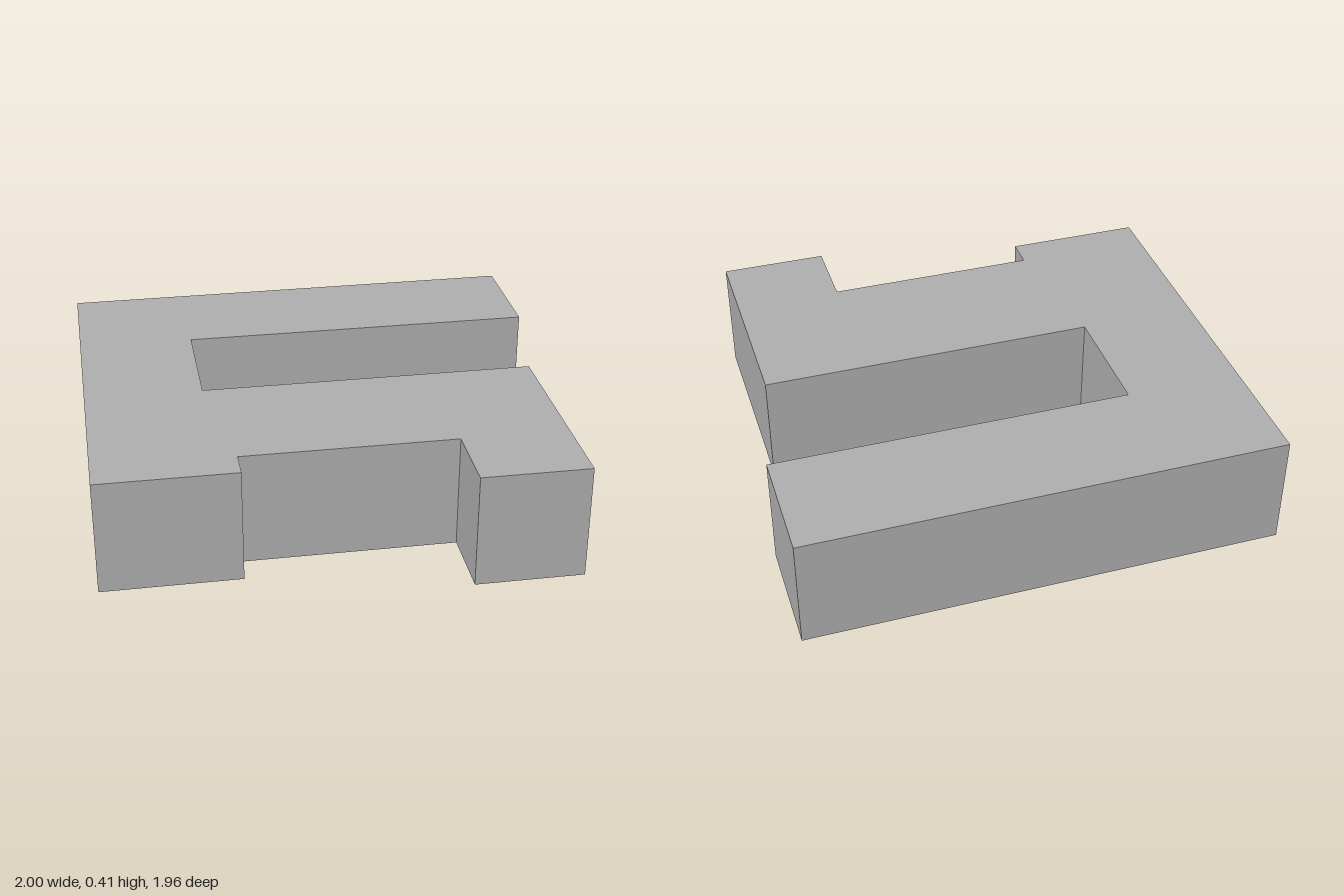
import * as THREE from 'three';

const HEIGHT = 0.41;

// Building footprint as [x, z] corners
const FOOTPRINT = [
  [-0.657, -0.98], [-1, 0.44], [-0.527, 0.554], [-0.502, 0.45],
  [0.231, 0.627], [0.168, 0.886], [0.538, 0.976], [0.717, 0.227],
  [-0.45, -0.054], [-0.35, -0.475], [0.9, -0.174], [1, -0.585],
];

export function createModel() {
  const model = new THREE.Group();
  model.name = 'building';
  const grey = new THREE.MeshStandardMaterial({ color: 0xb0b0b0, side: THREE.DoubleSide });
  grey.name = 'plain grey';

  // Flat roof; the underside of the shell is open
  const outline = new THREE.Shape(FOOTPRINT.map(([x, z]) => new THREE.Vector2(x, -z)));
  const roof = new THREE.Mesh(new THREE.ShapeGeometry(outline), grey);
  roof.name = 'roof';
  roof.rotation.x = -Math.PI / 2;
  roof.position.y = HEIGHT;
  model.add(roof);

  // One upright wall panel along each footprint edge, facing outward
  const walls = new THREE.Group();
  walls.name = 'walls';
  FOOTPRINT.forEach(([x, z], i) => {
    const [nx, nz] = FOOTPRINT[(i + 1) % FOOTPRINT.length];
    const wall = new THREE.Mesh(new THREE.PlaneGeometry(Math.hypot(nx - x, nz - z), HEIGHT), grey);
    wall.name = 'wall';
    wall.position.set((x + nx) / 2, HEIGHT / 2, (z + nz) / 2);
    wall.rotation.y = Math.atan2(z - nz, nx - x);
    walls.add(wall);
  });
  model.add(walls);
  return model;
}
